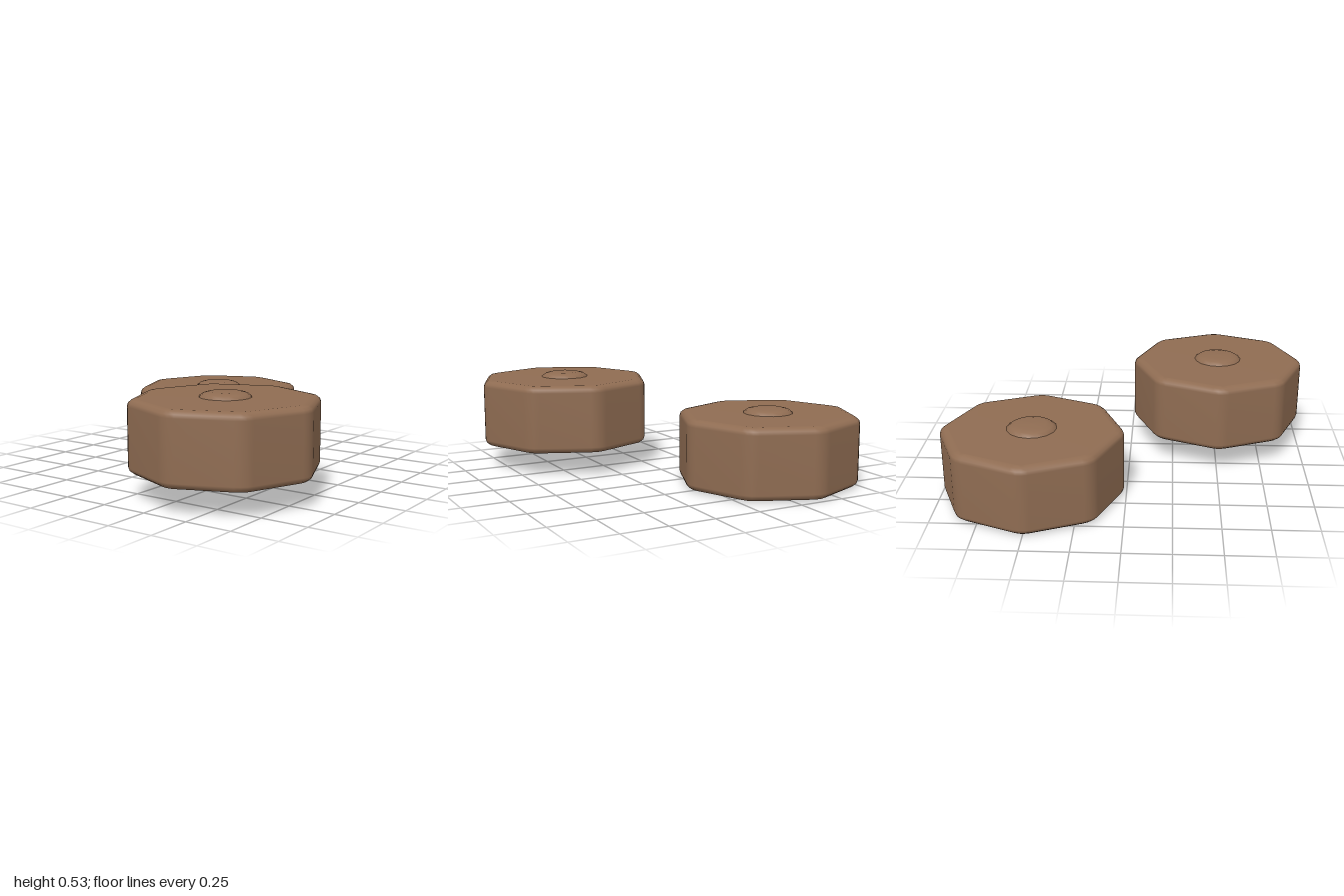
import * as THREE from 'three';
import { mergeVertices } from 'three/addons/utils/BufferGeometryUtils.js';

// Octagon outline with rounded corners, one corner on each axis
function octagon(radius, cut) {
  const corner = i => new THREE.Vector2(Math.cos(i * Math.PI / 4), Math.sin(i * Math.PI / 4)).multiplyScalar(radius);
  const points = [];
  for (let i = 0; i < 8; i++) {
    const c = corner(i);
    const a = corner(i - 1).sub(c).setLength(cut).add(c);
    const b = corner(i + 1).sub(c).setLength(cut).add(c);
    points.push(...new THREE.QuadraticBezierCurve(a, c, b).getPoints(3));
  }
  return new THREE.Shape(points);
}

// Bevelled block standing on y = 0, with smooth area-weighted normals
function blockGeometry(height) {
  const bevel = 0.035;
  let geo = new THREE.ExtrudeGeometry(octagon(0.5, 0.05), {
    depth: height - 2 * bevel, bevelThickness: bevel, bevelSize: 0.045,
    bevelOffset: -0.045, bevelSegments: 3, steps: 1,
  });
  geo.translate(0, 0, bevel);
  geo.rotateX(-Math.PI / 2);
  geo.deleteAttribute('normal');
  geo.deleteAttribute('uv');
  geo = mergeVertices(geo, 1e-4);
  geo.computeVertexNormals();
  return geo;
}

const lathe = pairs => new THREE.LatheGeometry(pairs.map(p => new THREE.Vector2(...p)), 16);

export function createModel() {
  const model = new THREE.Group();
  const brown = new THREE.MeshStandardMaterial({ color: 0x8f6c52 });
  brown.name = 'brown';

  const height = 0.376;
  const block = blockGeometry(height);
  const button = lathe([[0.137, -0.01], [0.133, 0.003], [0.113, 0.018], [0.08, 0.026], [0, 0.028]]);
  const base = lathe([[0, -0.002], [0.06, -0.0015], [0.09, 0.001]]);

  const add = (group, name, geo, y) => {
    const mesh = new THREE.Mesh(geo, brown);
    mesh.name = name;
    mesh.position.y = y;
    group.add(mesh);
  };

  // Two identical pads, the front one raised
  for (const [name, x, y, z] of [['frontPad', -0.507, 0.13, 0.377], ['backPad', 0.503, 0.002, -0.382]]) {
    const pad = new THREE.Group();
    pad.name = name;
    pad.position.set(x, y, z);
    add(pad, 'body', block, 0);
    add(pad, 'topButton', button, height);
    add(pad, 'bottomButton', base, 0);
    model.add(pad);
  }
  return model;
}
